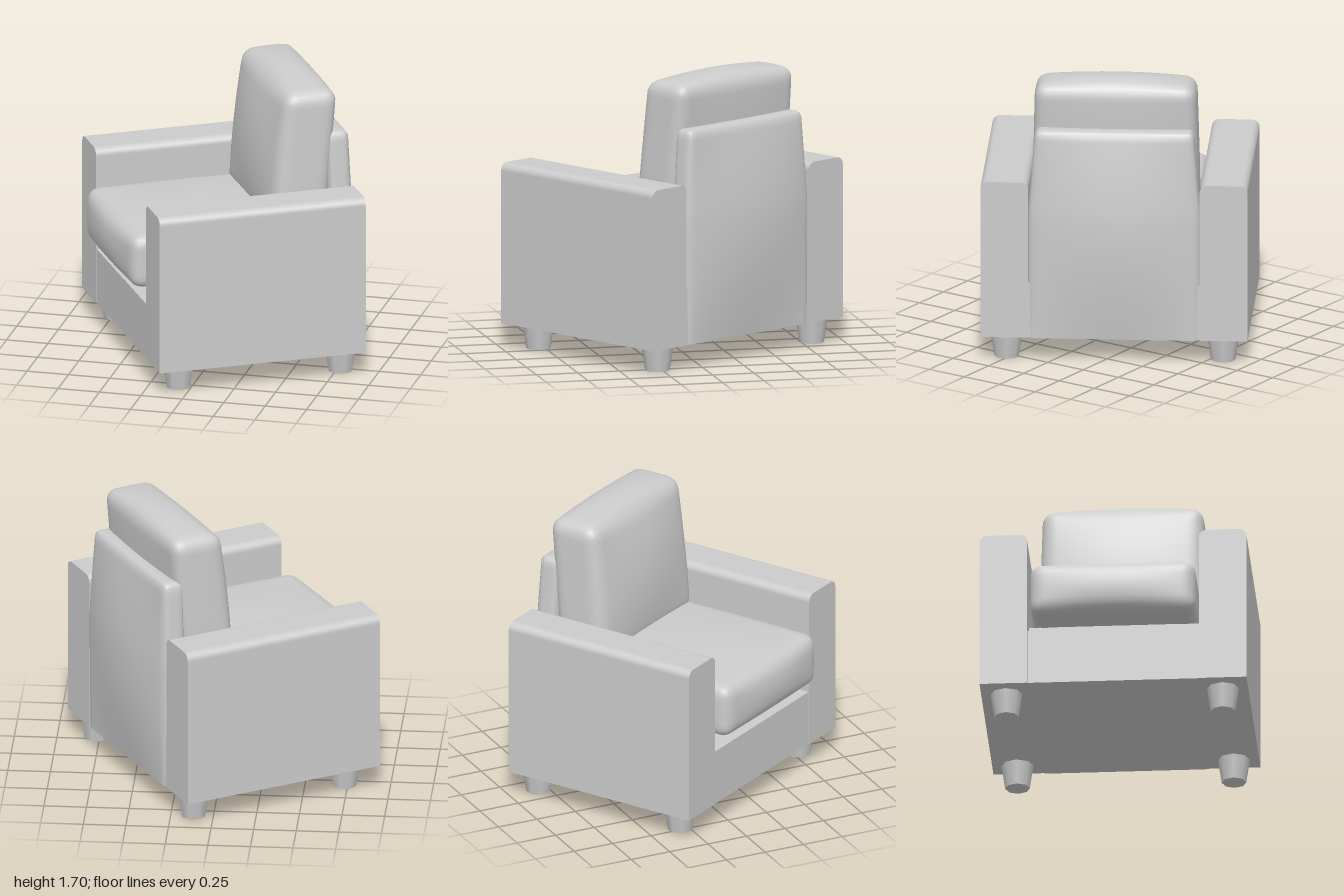
import * as THREE from 'three';
import { mergeVertices } from 'three/addons/utils/BufferGeometryUtils.js';

const material = new THREE.MeshStandardMaterial({ color: 0xcccccc });

function add(parent, name, geometry, x = 0, y = 0, z = 0) {
  const mesh = new THREE.Mesh(geometry, material);
  mesh.name = name;
  mesh.position.set(x, y, z);
  parent.add(mesh);
  return mesh;
}

// Rounded box between two corners; shape(p, u) then bends each vertex,
// where u runs from -1 to 1 along every axis.
function softBox(min, max, r, shape) {
  const lo = new THREE.Vector3(...min), hi = new THREE.Vector3(...max);
  const size = hi.clone().sub(lo), half = size.clone().multiplyScalar(0.5);
  const centre = lo.clone().add(half);
  const n = (s) => Math.max(8, Math.round(s / 0.03));
  let g = new THREE.BoxGeometry(size.x, size.y, size.z, n(size.x), n(size.y), n(size.z));
  g.deleteAttribute('uv');
  g.deleteAttribute('normal');
  g = mergeVertices(g);
  const inner = half.clone().subScalar(r), pos = g.attributes.position;
  const p = new THREE.Vector3(), q = new THREE.Vector3();
  for (let i = 0; i < pos.count; i++) {
    p.fromBufferAttribute(pos, i);
    q.copy(p).clamp(inner.clone().negate(), inner);
    p.sub(q).normalize().multiplyScalar(r).add(q);
    const u = p.clone().divide(half);
    p.add(centre);
    shape(p, u);
    pos.setXYZ(i, p.x, p.y, p.z);
  }
  g.computeVertexNormals();
  return g;
}

const dome = (a, b) => (1 - a * a) * (1 - b * b);

// Arm: cross-section with rounded top corners, extruded front to back
function armGeometry() {
  const w = 0.14, y0 = 0.145, y1 = 1.1, r = 0.045;
  const s = new THREE.Shape();
  s.moveTo(-w, y0);
  s.lineTo(w, y0);
  s.lineTo(w, y1 - r);
  s.absarc(w - r, y1 - r, r, 0, Math.PI / 2);
  s.lineTo(-w + r, y1);
  s.absarc(-w + r, y1 - r, r, Math.PI / 2, Math.PI);
  s.closePath();
  return new THREE.ExtrudeGeometry(s, { depth: 1.26, bevelEnabled: false, curveSegments: 6 });
}

export function createModel() {
  const model = new THREE.Group();
  model.name = 'armchair';
  const chair = new THREE.Group();
  chair.name = 'chairBody';
  chair.rotation.y = -1.03; // chair stands turned towards its right
  model.add(chair);

  // Base and the recessed deck under the seat cushion
  add(chair, 'base', new THREE.BoxGeometry(1.02, 0.335, 1.253), 0, 0.3125, 0);
  add(chair, 'seatDeck', new THREE.BoxGeometry(1.02, 0.1, 1.05), 0, 0.52, -0.05);

  // Arms and tapered legs, mirrored
  const arm = armGeometry();
  const leg = new THREE.CylinderGeometry(0.095, 0.072, 0.15, 8);
  for (const side of [-1, 1]) {
    const name = side > 0 ? 'left' : 'right';
    add(chair, name + 'Arm', arm, side * 0.643, 0, -0.63);
    add(chair, name + 'FrontLeg', leg, side * 0.635, 0.075, 0.47);
    add(chair, name + 'BackLeg', leg, side * 0.635, 0.075, -0.52);
  }

  // Back panel: narrows above the arms and swells gently to the rear
  add(chair, 'backPanel', softBox([-0.505, 0.05, -0.635], [0.505, 1.415, -0.5], 0.04, (p, u) => {
    p.y = Math.max(p.y, 0.145);
    const t = Math.max(0, (p.y - 0.9) / 0.515);
    p.x *= 1 - 0.08 * t;
    const swell = Math.sin(Math.PI * (p.y - 0.145) / 1.27);
    if (u.z < 0) p.z -= 0.065 * (1 - u.x * u.x) * swell;
    p.z += 0.01 * t;
  }));

  // Seat cushion: crowned top, swollen front
  add(chair, 'seatCushion', softBox([-0.485, 0.565, -0.45], [0.485, 0.885, 0.7], 0.065, (p, u) => {
    p.y += (u.y > 0 ? 0.035 : -0.015) * u.y * dome(u.x, u.z);
    if (u.z > 0) p.z += 0.035 * u.z * dome(u.x, u.y);
  }));

  // Back cushion: leans to the rear, with domed faces
  add(chair, 'backCushion', softBox([-0.485, 0.84, -0.505], [0.485, 1.665, -0.185], 0.07, (p, u) => {
    if (u.y > 0) p.y += 0.04 * u.y * dome(u.x, u.z);
    p.z += (u.z > 0 ? 0.055 : 0.02) * u.z * dome(u.x, u.y);
    p.z -= 0.1 * (p.y - 1.1);
    p.x *= 1 - 0.05 * Math.max(0, p.y - 1.1);
  }));

  return model;
}
